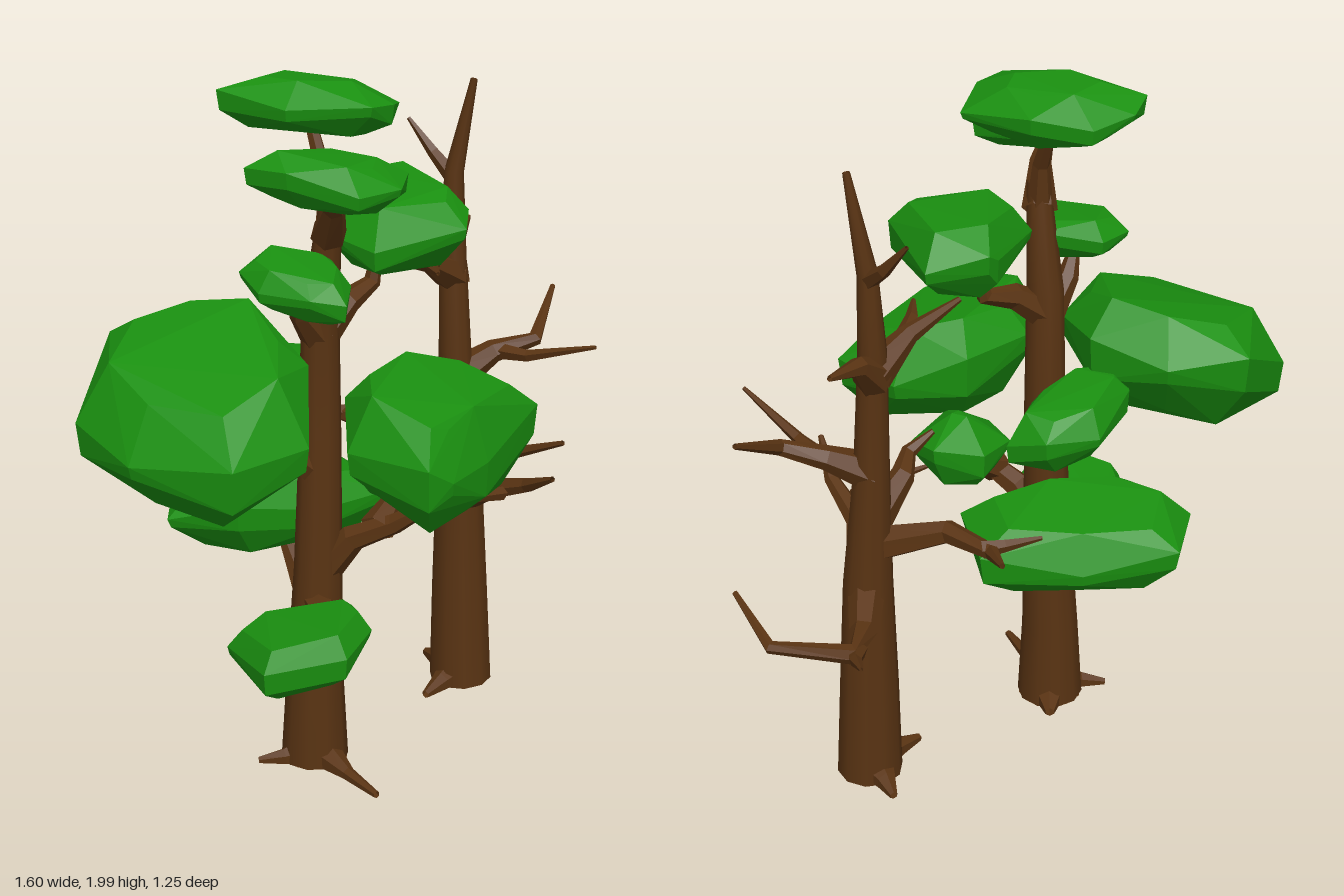
import * as THREE from 'three';
import { ConvexGeometry } from 'three/addons/geometries/ConvexGeometry.js';

const trunkBark = new THREE.MeshStandardMaterial({ color: 0x5a3413, side: THREE.DoubleSide });
const bark = new THREE.MeshStandardMaterial({ color: 0x5a3413, side: THREE.DoubleSide, flatShading: true });
const leaf = new THREE.MeshStandardMaterial({ color: 0x1a9010, flatShading: true });

// Angular path whose tube rings fall exactly on the given points
class JointedCurve extends THREE.CatmullRomCurve3 {
  getPointAt(t, target) { return this.getPoint(t, target); }
  getTangentAt(t, target) { return this.getTangent(t, target); }
}

// Tapered tube through points; radii are spread evenly over the points
function limb(name, points, radii, sides = 6, material = bark) {
  const curve = new JointedCurve(points.map(p => new THREE.Vector3(...p)), false, 'catmullrom', 0.5);
  const n = points.length - 1;
  const geo = new THREE.TubeGeometry(curve, n, 1, sides, false);
  const pos = geo.attributes.position;
  const v = new THREE.Vector3();
  for (let i = 0; i <= n; i++) {
    const c = curve.getPoint(i / n);
    const t = (i / n) * (radii.length - 1);
    const k = Math.min(Math.floor(t), radii.length - 2);
    const r = THREE.MathUtils.lerp(radii[k], radii[k + 1], t - k);
    for (let j = 0; j <= sides; j++) {
      const id = i * (sides + 1) + j;
      v.fromBufferAttribute(pos, id).sub(c).multiplyScalar(r).add(c);
      pos.setXYZ(id, v.x, Math.max(0, v.y), v.z);
    }
  }
  const mesh = new THREE.Mesh(geo, material);
  mesh.name = name;
  return mesh;
}

// Faceted leaf mass: plan outline [x, z], height range, slopes along x and z, size of the top
function clump(name, outline, low, high, slopeX = 0, slopeZ = 0, top = 0.72) {
  const cx = outline.reduce((s, p) => s + p[0], 0) / outline.length;
  const cz = outline.reduce((s, p) => s + p[1], 0) / outline.length;
  const pts = [];
  // [height fraction, outline scale]
  for (const [h, s] of [[0, 0.66], [0.35, 0.97], [0.62, 1], [1, top]]) {
    outline.forEach(([x, z], i) => {
      const dx = (x - cx) * s, dz = (z - cz) * s;
      const wobble = Math.sin(i * 2.4 + h * 5 + low * 9) * (high - low) * (h > 0 && h < 1 ? 0.12 : 0.05);
      pts.push(new THREE.Vector3(cx + dx, low + h * (high - low) + wobble + slopeX * dx + slopeZ * dz, cz + dz));
    });
  }
  const mesh = new THREE.Mesh(new ConvexGeometry(pts), leaf);
  mesh.name = name;
  return mesh;
}

function base(x, z, r) {
  const disc = new THREE.Mesh(new THREE.CircleGeometry(r, 10), bark);
  disc.rotation.x = Math.PI / 2;
  disc.position.set(x, 0.002, z);
  disc.name = 'trunkBase';
  return disc;
}

function leafyTree() {
  const tree = new THREE.Group();
  tree.name = 'leafyTree';
  tree.add(
    base(-0.162, 0.055, 0.095),
    limb('trunk', [[-0.162, 0, 0.055], [-0.16, 0.25, 0.055], [-0.148, 0.6, 0.055], [-0.137, 1, 0.05],
      [-0.135, 1.35, 0.05], [-0.125, 1.66, 0.1]], [0.096, 0.082, 0.068, 0.058, 0.052, 0.032], 10, trunkBark),
    limb('leader', [[-0.127, 1.6, 0.09], [-0.125, 1.72, 0.07], [-0.14, 1.9, -0.02]], [0.036, 0.024, 0.015])
  );
  const branches = [
    [[-0.14, 0.58, 0.06], [-0.07, 0.7, 0.12], [0.02, 0.76, 0.2], [0.08, 0.82, 0.26], [0.09, 0.92, 0.3]],
    [[-0.02, 0.74, 0.17], [0.05, 0.79, 0.12], [0.1, 0.85, 0.08]],
    [[-0.13, 1.29, 0.05], [-0.04, 1.36, 0.02], [0.05, 1.39, -0.02], [0.07, 1.5, -0.02]],
    [[-0.14, 1.28, 0.05], [-0.21, 1.37, 0.09], [-0.24, 1.45, 0.13]],
    [[-0.14, 0.88, 0.05], [-0.25, 0.98, 0.06], [-0.36, 1.05, 0.08]],
    [[-0.16, 0.5, 0.06], [-0.19, 0.51, 0.18], [-0.26, 0.5, 0.28]],
    [[-0.15, 0.45, 0.04], [-0.16, 0.55, -0.08], [-0.18, 0.67, -0.18]],
    [[-0.14, 0.9, 0.04], [-0.16, 0.97, -0.08], [-0.18, 1.05, -0.18]],
    [[-0.127, 1.58, 0.09], [-0.15, 1.68, 0.18], [-0.2, 1.76, 0.26]],
  ];
  for (const b of branches) tree.add(limb('branch', b, [0.05, 0.036, 0.024, 0.012]));
  tree.add(
    limb('root', [[-0.15, 0.02, 0.1], [-0.13, 0.015, 0.22], [-0.1, 0.01, 0.35]], [0.05, 0.02, 0.01]),
    limb('root', [[-0.17, 0.02, 0.05], [-0.26, 0.015, 0.06], [-0.33, 0.01, 0.04]], [0.05, 0.025, 0.01]),
    limb('root', [[-0.16, 0.02, 0.04], [-0.14, 0.02, -0.03], [-0.13, 0.015, -0.08]], [0.05, 0.035, 0.015])
  );
  // Foliage from the top down
  tree.add(
    clump('crownFoliage', [[-0.37, -0.08], [-0.32, -0.15], [-0.2, -0.19], [-0.05, -0.12], [0.1, 0.04],
      [0.03, 0.16], [-0.05, 0.2], [-0.25, 0.1]], 1.85, 1.98, -0.08, 0.06, 0.5),
    clump('upperFrontFoliage', [[-0.39, 0.16], [-0.3, 0.11], [-0.13, 0.12], [0.02, 0.27], [-0.05, 0.38],
      [-0.18, 0.41], [-0.32, 0.27]], 1.72, 1.84, -0.1, -0.04, 0.6),
    clump('upperLeftFoliage', [[-0.09, 0.02], [0.05, -0.2], [0.08, -0.23], [0.25, -0.23], [0.29, 0.08],
      [0.24, 0.17], [-0.03, 0.17]], 1.46, 1.65, 0.05, -0.08),
    clump('smallFoliage', [[-0.37, 0.06], [-0.28, -0.01], [-0.12, 0.08], [-0.11, 0.2], [-0.18, 0.33],
      [-0.26, 0.28], [-0.36, 0.17]], 1.42, 1.53, 0, -0.16),
    clump('broadRightFoliage', [[-0.8, -0.05], [-0.62, -0.28], [-0.4, -0.26], [-0.22, -0.12], [-0.2, 0.12],
      [-0.3, 0.36], [-0.54, 0.43], [-0.74, 0.2]], 0.98, 1.29, 0.22, -0.24),
    clump('broadFrontFoliage', [[-0.21, 0.4], [-0.08, 0.62], [0, 0.6], [0.15, 0.5], [0.41, 0.28],
      [0.28, 0.12], [0.08, 0.07], [-0.12, 0.18]], 0.91, 1.2, -0.15, -0.16),
    clump('backFoliage', [[0.04, -0.25], [-0.05, -0.33], [-0.2, -0.32], [-0.32, -0.17], [-0.33, -0.06],
      [-0.2, -0.05], [-0.06, -0.12]], 1, 1.16, -0.18, 0.05),
    clump('innerFoliage', [[-0.04, 0.06], [0.06, -0.06], [0.2, -0.04], [0.24, 0.08], [0.12, 0.18], [0, 0.16]],
      0.8, 0.98, 0.1, 0, 0.2),
    clump('lowerBackFoliage', [[-0.42, -0.37], [-0.15, -0.36], [0.12, -0.28], [0.13, -0.06], [-0.1, -0.03],
      [-0.35, -0.04], [-0.51, -0.17]], 0.6, 0.8, -0.02, 0.14),
    clump('lowestFoliage', [[-0.46, 0.42], [-0.46, 0.15], [-0.36, 0.12], [-0.13, 0.25], [-0.13, 0.38], [-0.26, 0.51]],
      0.42, 0.57, 0.23, 0.13, 0.8)
  );
  return tree;
}

function bareTree() {
  const tree = new THREE.Group();
  tree.name = 'bareTree';
  tree.add(
    base(0.43, -0.2, 0.092),
    limb('trunk', [[0.43, 0, -0.2], [0.425, 0.3, -0.205], [0.42, 0.65, -0.21], [0.4, 1, -0.205], [0.39, 1.35, -0.215],
      [0.4, 1.6, -0.235], [0.44, 1.87, -0.2]], [0.094, 0.084, 0.07, 0.05, 0.04, 0.028, 0.01], 10, trunkBark)
  );
  // Main branches
  const branches = [
    [[0.42, 0.64, -0.2], [0.46, 0.59, -0.36], [0.51, 0.61, -0.49], [0.72, 0.61, -0.41], [0.79, 0.69, -0.25]],
    [[0.4, 0.99, -0.2], [0.52, 1.05, -0.2], [0.64, 1.08, -0.17], [0.77, 1.18, -0.31]],
    [[0.41, 0.76, -0.2], [0.21, 0.83, -0.29], [0.12, 0.84, -0.43], [0.12, 0.88, -0.56]],
    [[0.42, 0.62, -0.18], [0.41, 0.71, 0], [0.46, 0.77, 0.14], [0.47, 0.84, 0.27]],
    [[0.4, 0.84, -0.2], [0.3, 0.92, -0.12], [0.27, 0.95, -0.05], [0.2, 1, -0.04]],
    [[0.39, 1.3, -0.22], [0.28, 1.37, -0.15], [0.13, 1.42, -0.08]],
    [[0.39, 1.29, -0.22], [0.44, 1.37, -0.3], [0.53, 1.4, -0.4]],
  ];
  for (const b of branches) tree.add(limb('branch', b, [0.055, 0.034, 0.022, 0.008]));
  // Thin forks
  const twigs = [
    [[0.49, 0.6, -0.46], [0.51, 0.62, -0.53], [0.51, 0.66, -0.63]],
    [[0.53, 1.05, -0.2], [0.58, 1.06, -0.1], [0.7, 1.13, 0.08]],
    [[0.14, 0.84, -0.41], [0.08, 0.85, -0.42], [-0.02, 0.86, -0.42]],
    [[0.42, 0.72, 0.02], [0.4, 0.74, 0.1], [0.28, 0.76, 0.13], [0.17, 0.77, 0.16]],
    [[0.3, 1.36, -0.16], [0.26, 1.38, -0.08], [0.24, 1.39, 0]],
    [[0.4, 1.58, -0.235], [0.37, 1.64, -0.31], [0.32, 1.73, -0.37]],
  ];
  for (const t of twigs) tree.add(limb('twig', t, [0.026, 0.018, 0.006], 5));
  tree.add(
    limb('root', [[0.42, 0.02, -0.2], [0.34, 0.02, -0.15], [0.27, 0.012, -0.11]], [0.06, 0.03, 0.012]),
    limb('root', [[0.42, 0.02, -0.22], [0.4, 0.02, -0.3], [0.39, 0.012, -0.36]], [0.06, 0.03, 0.012])
  );
  return tree;
}

export function createModel() {
  const model = new THREE.Group();
  model.name = 'treePair';
  model.add(leafyTree(), bareTree());
  return model;
}
